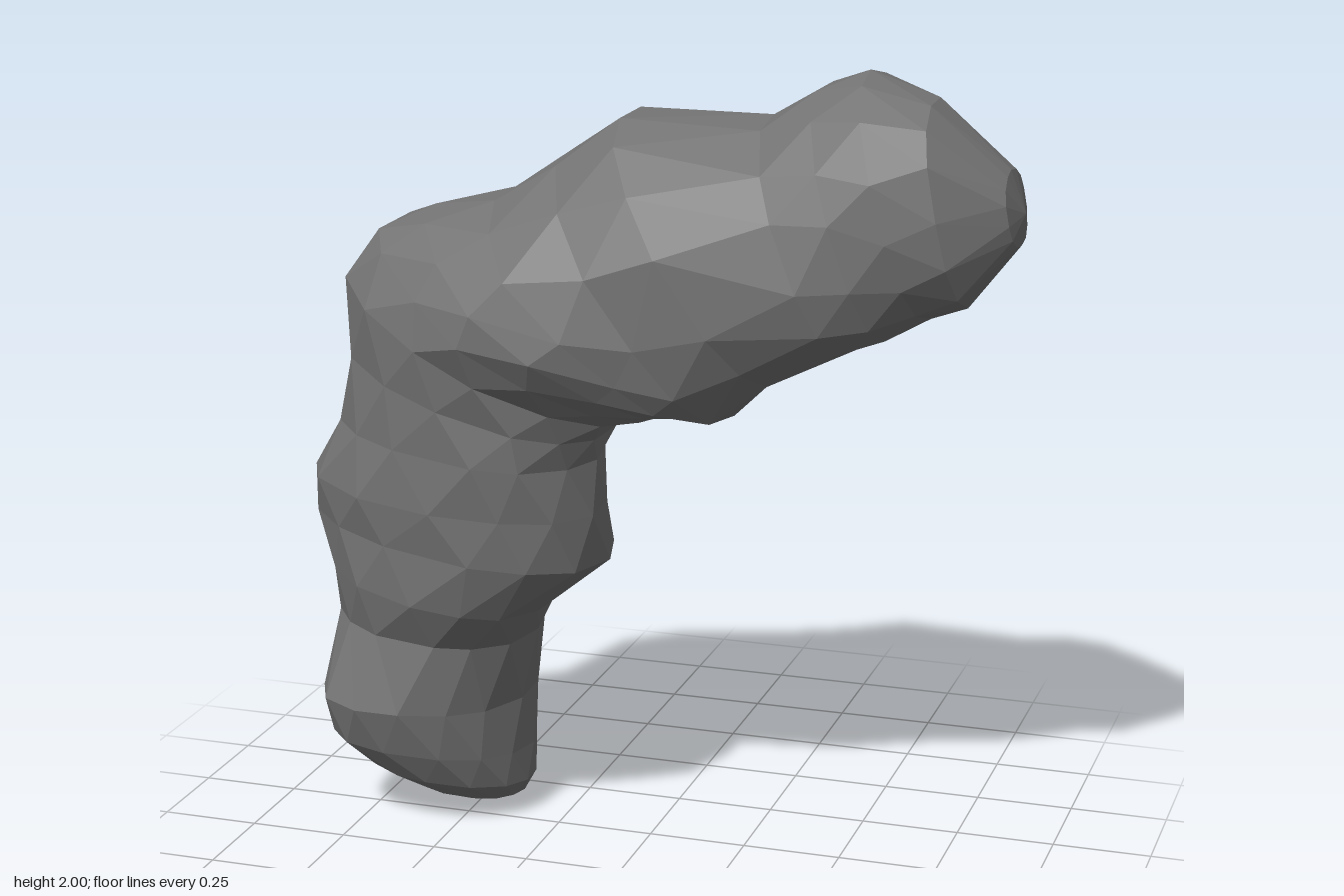
import * as THREE from 'three';

// Cross-sections along the bend:
// outer x, outer y, inner x, inner y, front z, back z, z shift of the outer edge
const SECTIONS = [
  [-0.65, 0.07, -0.38, 0.04, 0.04, -0.20, 0.02],
  [-0.76, 0.15, -0.35, 0.09, 0.13, -0.22, 0.04],
  [-0.84, 0.24, -0.35, 0.18, 0.19, -0.24, 0.06],
  [-0.86, 0.35, -0.36, 0.32, 0.23, -0.27, 0.07],
  [-0.84, 0.55, -0.33, 0.50, 0.20, -0.34, 0.00],
  [-0.88, 0.69, -0.27, 0.60, 0.25, -0.33, -0.05],
  [-0.92, 0.82, -0.10, 0.74, 0.27, -0.33, -0.06],
  [-0.91, 0.92, -0.11, 0.88, 0.29, -0.32, -0.06],
  [-0.82, 1.07, -0.12, 1.01, 0.30, -0.31, -0.05],
  [-0.79, 1.26, -0.10, 1.07, 0.30, -0.34, -0.04],
  [-0.79, 1.45, -0.06, 1.11, 0.31, -0.37, -0.03],
  [-0.70, 1.56, 0.00, 1.12, 0.32, -0.38, -0.03],
  [-0.57, 1.61, 0.07, 1.13, 0.32, -0.38, -0.03],
  [-0.40, 1.65, 0.14, 1.13, 0.31, -0.39, -0.04],
  [-0.24, 1.76, 0.21, 1.13, 0.29, -0.40, -0.05],
  [-0.09, 1.86, 0.33, 1.24, 0.30, -0.40, -0.06],
  [0.28, 1.87, 0.52, 1.32, 0.26, -0.36, -0.05],
  [0.41, 1.95, 0.61, 1.36, 0.24, -0.34, -0.04],
  [0.53, 2.00, 0.70, 1.41, 0.22, -0.29, -0.02],
  [0.70, 1.94, 0.80, 1.45, 0.20, -0.22, 0.00],
  [0.88, 1.78, 0.91, 1.60, 0.08, -0.14, 0.00],
];
const SIDES = 14;

// Small repeatable noise in -1..1
let seed = 7;
function noise() {
  seed = (seed * 16807) % 2147483647;
  return (seed / 2147483647) * 2 - 1;
}

// Fuller than a plain oval
const full = (v) => Math.sign(v) * Math.abs(v) ** 0.88;

// Staggered ring with slightly uneven corners
function ringPoints([ox, oy, ix, iy, front, back, shift], row) {
  const points = [];
  for (let j = 0; j < SIDES; j++) {
    const a = ((j + (row % 2) / 2 + noise() * 0.14) / SIDES) * Math.PI * 2;
    const r = 1.0 + noise() * 0.018;
    const c = full(Math.cos(a)) * r;
    const s = full(Math.sin(a)) * r;
    const x = (ox + ix) / 2 + (c * (ox - ix)) / 2;
    const y = (oy + iy) / 2 + (c * (oy - iy)) / 2;
    // Knob on the front of the elbow
    const knob = 0.1 * Math.max(0, s) * Math.exp(-((x + 0.26) ** 2 + (y - 1.45) ** 2) / 0.04);
    const z = (front + back) / 2 + (s * (front - back)) / 2 + c * shift + knob;
    points.push(x, y, z);
  }
  return points;
}

function bentBody() {
  const positions = [];
  const index = [];
  SECTIONS.forEach((section, row) => positions.push(...ringPoints(section, row)));
  const last = SECTIONS.length - 1;
  const at = (row, j) => row * SIDES + (j % SIDES);

  // Rounded tips
  const bottom = positions.length / 3;
  positions.push(-0.52, 0.0, -0.09, 0.92, 1.68, -0.02);

  for (let j = 0; j < SIDES; j++) {
    for (let row = 0; row < last; row++) {
      const a = at(row, j), b = at(row, j + 1);
      const c = at(row + 1, j), d = at(row + 1, j + 1);
      // The diagonal follows the stagger
      if (row % 2 === 0) index.push(a, b, c, b, d, c);
      else index.push(a, b, d, a, d, c);
    }
    index.push(bottom, at(0, j + 1), at(0, j));
    index.push(bottom + 1, at(last, j), at(last, j + 1));
  }

  const geometry = new THREE.BufferGeometry();
  geometry.setAttribute('position', new THREE.Float32BufferAttribute(positions, 3));
  geometry.setIndex(index);
  const flat = geometry.toNonIndexed();
  flat.computeVertexNormals();
  return flat;
}

export function createModel() {
  seed = 7;
  const group = new THREE.Group();
  group.name = 'bentRock';
  const material = new THREE.MeshStandardMaterial({ color: 0x747474, flatShading: true });
  const body = new THREE.Mesh(bentBody(), material);
  body.name = 'rockBody';
  group.add(body);
  return group;
}
